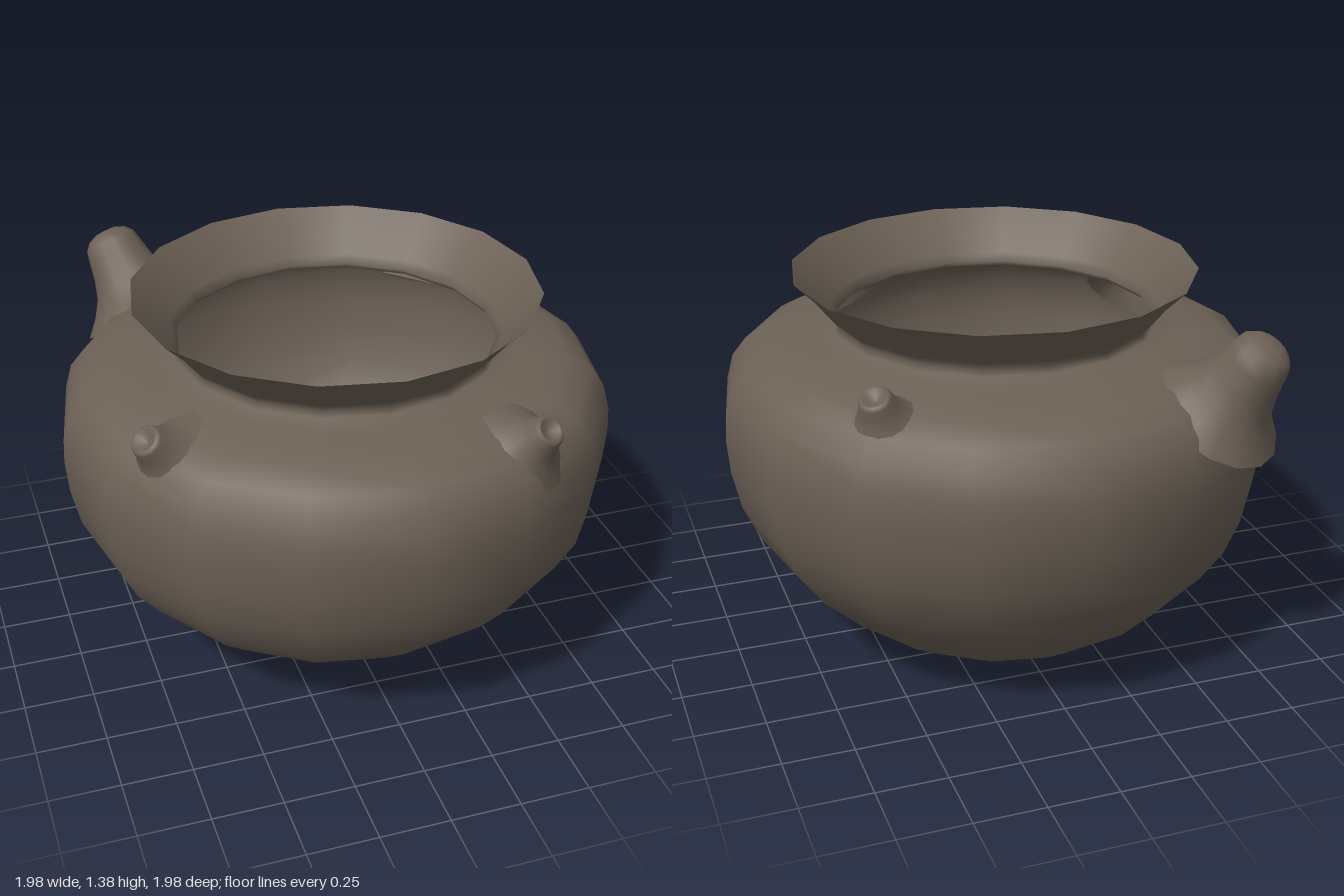
import * as THREE from 'three';

export function createModel() {
  const model = new THREE.Group();
  model.name = 'clayPot';
  const clay = new THREE.MeshStandardMaterial({ color: 0x6c6156, side: THREE.DoubleSide });
  clay.name = 'dark clay';

  const lathe = (pairs, sides) =>
    new THREE.LatheGeometry(pairs.map(([r, y]) => new THREE.Vector2(r, y)), sides);

  // Thin-walled bowl, shoulder and flared neck in one sixteen-sided profile
  const body = lathe([
    [0, 0], [0.2, 0.01], [0.36, 0.04], [0.51, 0.1], [0.65, 0.19], [0.8, 0.33],
    [0.89, 0.45], [0.95, 0.58], [0.98, 0.72], [0.99, 0.84], [0.985, 0.93],
    [0.96, 1.02], [0.91, 1.085], [0.83, 1.13], [0.73, 1.155], [0.64, 1.17],
    [0.58, 1.185], [0.565, 1.205], [0.59, 1.235], [0.65, 1.31], [0.72, 1.38],
  ], 16);
  // The underside leans a little to the back, the mouth a little to the front
  const p = body.attributes.position;
  for (let i = 0; i < p.count; i++) {
    const y = p.getY(i);
    const shift = y < 0.6 ? -0.07 * (1 - y / 0.6) : y > 1.15 ? 0.015 : 0;
    p.setZ(i, p.getZ(i) + shift);
  }
  const bodyMesh = new THREE.Mesh(body, clay);
  bodyMesh.name = 'potBody';
  model.add(bodyMesh);

  // Spouts: a flared root that runs into the shoulder, leaning outward
  function addSpout(name, profile, root, tip) {
    const spout = new THREE.Mesh(lathe(profile, 14), clay);
    spout.name = name;
    const a = new THREE.Vector3(...root);
    const axis = new THREE.Vector3(...tip).sub(a).normalize();
    spout.position.copy(a);
    spout.quaternion.setFromUnitVectors(new THREE.Vector3(0, 1, 0), axis);
    model.add(spout);
  }

  // Large closed spout with a domed end
  addSpout('largeSpout', [
    [0.24, -0.04], [0.185, 0.02], [0.145, 0.08], [0.122, 0.15], [0.108, 0.22],
    [0.098, 0.26], [0.075, 0.285], [0.04, 0.3], [0, 0.303],
  ], [-0.55, 1.06, -0.72], [-0.65, 1.33, -0.865]);

  // Three small knobs with dimpled ends
  const knob = [
    [0.17, -0.02], [0.115, 0.03], [0.082, 0.075], [0.064, 0.115], [0.056, 0.145],
    [0.047, 0.157], [0.036, 0.155], [0.022, 0.14], [0, 0.135],
  ];
  addSpout('frontKnob', knob, [0.41, 1.07, 0.75], [0.455, 1.19, 0.85]);
  addSpout('rightKnob', knob, [-0.70, 1.06, 0.43], [-0.79, 1.17, 0.485]);
  addSpout('backKnob', knob, [0.56, 1.07, -0.57], [0.61, 1.2, -0.62]);

  return model;
}
